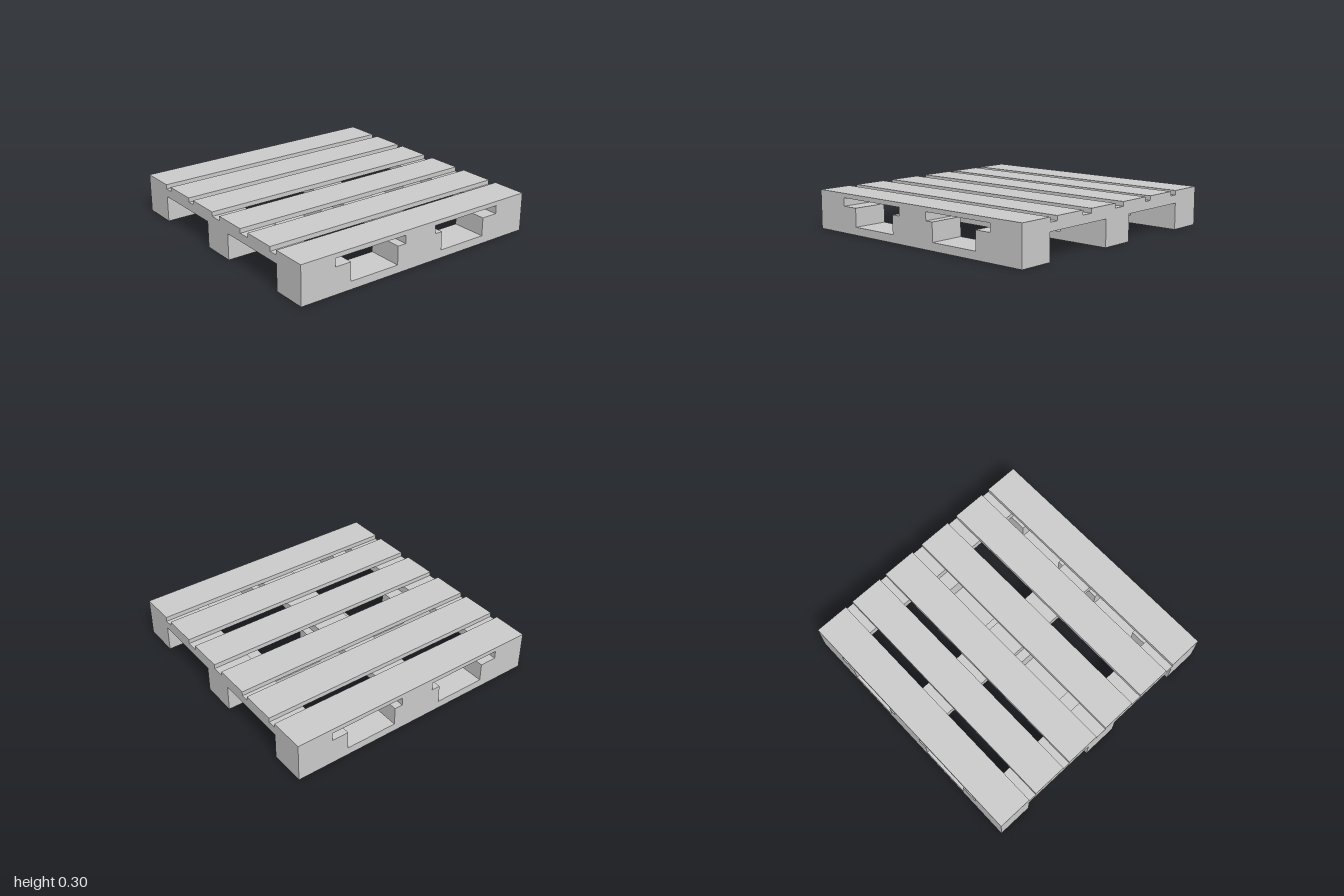
import * as THREE from 'three';

const material = new THREE.MeshStandardMaterial({ color: 0xcccccc, flatShading: true });
const BOARD = 0.27; // width shared by runners, cross boards and deck boards

function addMesh(parent, name, geometry, x, y, z) {
  const mesh = new THREE.Mesh(geometry, material);
  mesh.name = name;
  mesh.position.set(x, y, z);
  parent.add(mesh);
}

// Runner side profile (z, y) with two fork notches, extruded across its width
function runnerGeometry() {
  const profile = [
    [-1, 0], [1, 0], [1, 0.2], [0.6, 0.2], [0.6, 0.06], [0.2, 0.06], [0.2, 0.2],
    [-0.2, 0.2], [-0.2, 0.06], [-0.6, 0.06], [-0.6, 0.2], [-1, 0.2],
  ];
  const shape = new THREE.Shape(profile.map(([z, y]) => new THREE.Vector2(z, y)));
  const geometry = new THREE.ExtrudeGeometry(shape, { depth: BOARD, bevelEnabled: false });
  geometry.translate(0, 0, -BOARD / 2);
  geometry.rotateY(-Math.PI / 2);
  return geometry;
}

export function createModel() {
  const pallet = new THREE.Group();
  pallet.name = 'pallet';

  // Three notched runners, front to back
  const runner = runnerGeometry();
  for (const x of [-0.865, 0, 0.865]) addMesh(pallet, 'runner', runner, x, 0, 0);

  // Three cross boards resting on the runners
  const cross = new THREE.BoxGeometry(2, 0.062, BOARD);
  for (const z of [-0.865, -0.003, 0.865]) addMesh(pallet, 'crossBoard', cross, 0, 0.231, z);

  // Six deck boards with slightly uneven gaps
  const deck = new THREE.BoxGeometry(BOARD, 0.034, 2);
  for (const x of [-0.865, -0.53, -0.2, 0.165, 0.525, 0.865]) {
    addMesh(pallet, 'deckBoard', deck, x, 0.279, 0);
  }
  return pallet;
}
